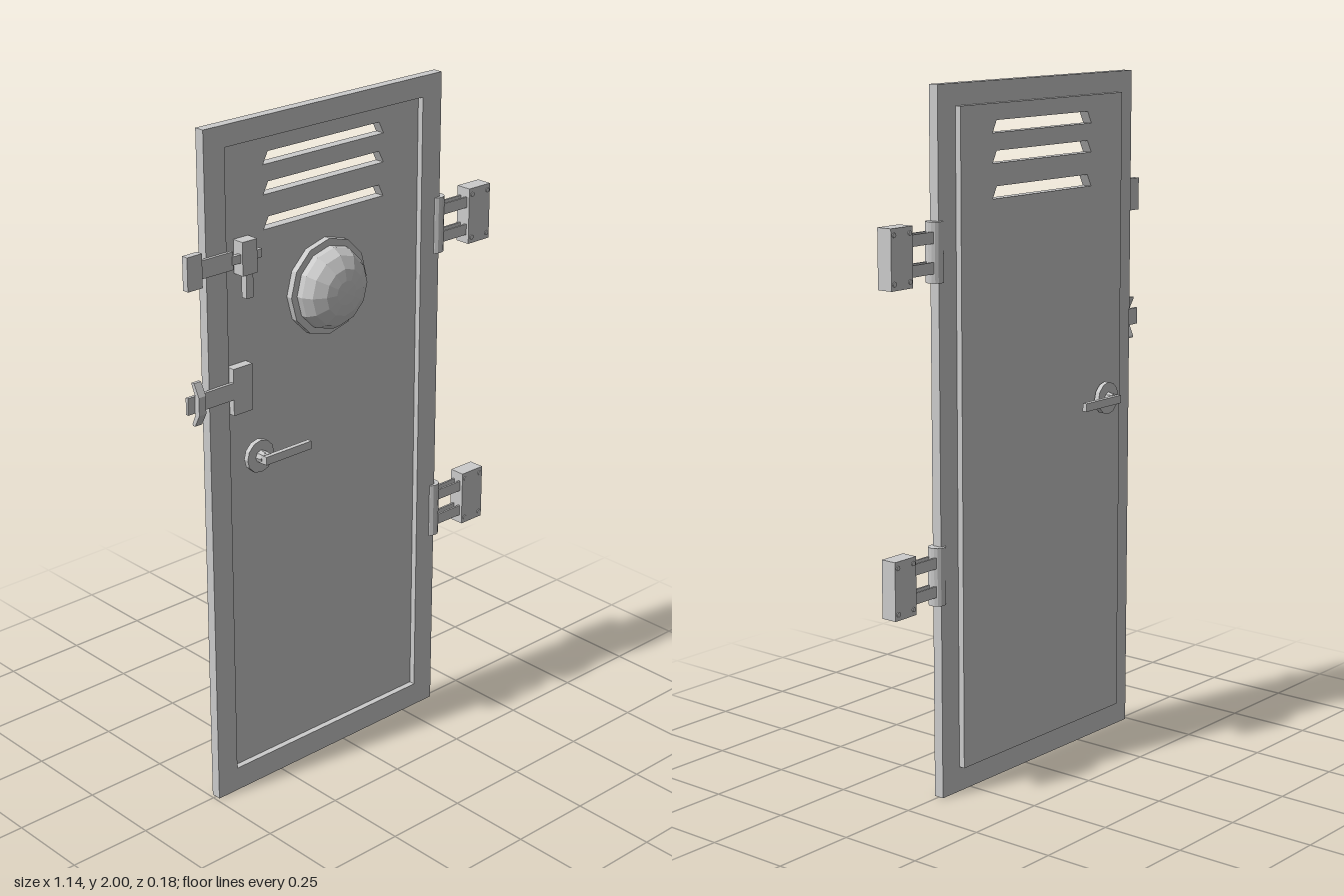
import * as THREE from 'three';

const material = new THREE.MeshStandardMaterial({ color: 0xcccccc, flatShading: true });

export function createModel() {
  const model = new THREE.Group();
  model.name = 'door';

  const add = (name, geometry, parent = model) => {
    const mesh = new THREE.Mesh(geometry, material);
    mesh.name = name;
    parent.add(mesh);
    return mesh;
  };
  // Box given by its limits on each axis
  const box = (name, x0, x1, y0, y1, z0, z1, parent) => {
    const mesh = add(name, new THREE.BoxGeometry(x1 - x0, y1 - y0, z1 - z0), parent);
    mesh.position.set((x0 + x1) / 2, (y0 + y1) / 2, (z0 + z1) / 2);
    return mesh;
  };
  // Cylinder along z
  const disc = (name, x, y, z0, z1, r0, r1, sides, parent) => {
    const geometry = new THREE.CylinderGeometry(r1, r0, z1 - z0, sides).rotateX(Math.PI / 2);
    const mesh = add(name, geometry, parent);
    mesh.position.set(x, y, (z0 + z1) / 2);
    return mesh;
  };
  const outline = (points) => points.map(([x, y]) => new THREE.Vector2(x, y));
  const rect = (x0, x1, y0, y1) => outline([[x0, y0], [x1, y0], [x1, y1], [x0, y1]]);
  const plate = (name, points, holes, z0, z1) => {
    const shape = new THREE.Shape(points);
    holes.forEach((h) => shape.holes.push(new THREE.Path(h)));
    const geometry = new THREE.ExtrudeGeometry(shape, { depth: z1 - z0, bevelEnabled: false });
    add(name, geometry.translate(0, 0, z0));
  };

  // Outer frame and inset panel with three vent slots
  plate('frame', rect(-0.49, 0.37, 0, 2), [rect(-0.42, 0.298, 0.073, 1.94)], -0.015, 0.015);
  const slots = [1.86, 1.777, 1.68].map((y) =>
    outline([[-0.275, y], [0.165, y], [0.148, y + 0.034], [-0.257, y + 0.034]]));
  plate('panel', rect(-0.42, 0.298, 0.073, 1.94), slots, -0.033, -0.003);

  // Domed porthole with its rim
  const lathe = (name, profile) => {
    const geometry = new THREE.LatheGeometry(outline(profile), 12).rotateX(Math.PI / 2);
    add(name, geometry).position.set(-0.055, 1.47, 0);
  };
  lathe('portholeRim', [[0.14, -0.004], [0.14, 0.016], [0.115, 0.016]]);
  lathe('portholeDome', [[0.12, 0.01], [0.118, 0.034], [0.102, 0.06], [0.068, 0.08], [0.035, 0.086], [0, 0.088]]);

  // Lever handles, mirrored about the middle of the panel
  const handleX = -0.333, handleY = 1.05;
  for (const side of [1, -1]) {
    const handle = new THREE.Group();
    handle.name = side > 0 ? 'frontHandle' : 'backHandle';
    handle.position.set(handleX, handleY, -0.009);
    if (side < 0) handle.rotation.x = Math.PI;
    model.add(handle);
    disc('rosette', 0, 0, 0.034, 0.049, 0.048, 0.048, 12, handle);
    disc('neck', 0, 0, 0.049, 0.066, 0.019, 0.015, 8, handle);
    box('spindle', -0.012, 0.014, -0.013, 0.013, 0, 0.074, handle);
    box('lever', -0.012, 0.153, -0.012, 0.012, 0.072, 0.086, handle);
  }

  // Two hinges: barrel, paired link bars and a mounting block
  for (const y of [1.554, 0.652]) {
    const hinge = new THREE.Group();
    hinge.name = 'hinge';
    hinge.position.set(0, y, 0);
    model.add(hinge);
    const barrel = add('hingeBarrel', new THREE.CylinderGeometry(0.025, 0.025, 0.166, 16), hinge);
    barrel.position.x = 0.37;
    box('hingeBlock', 0.483, 0.568, -0.083, 0.083, -0.024, 0.024, hinge);
    for (const dy of [-0.041, 0.041]) {
      for (const dz of [-0.012, 0.012]) {
        box('linkBar', 0.37, 0.49, dy - 0.016, dy + 0.016, dz - 0.003, dz + 0.003, hinge);
      }
    }
    for (const x of [0.495, 0.557]) {
      for (const dy of [-0.065, 0.065]) {
        disc('screw', x, dy, -0.027, 0.027, 0.007, 0.007, 8, hinge);
      }
    }
  }

  // Upper latch: keeper, bolt and turning grip
  box('boltKeeper', -0.565, -0.515, 1.583, 1.678, 0.01, 0.03);
  box('bolt', -0.52, -0.405, 1.605, 1.656, 0.015, 0.024);
  box('boltPin', -0.41, -0.307, 1.619, 1.643, 0.016, 0.027);
  box('boltGuide', -0.381, -0.33, 1.583, 1.678, -0.004, 0.034);
  box('boltGrip', -0.366, -0.342, 1.515, 1.59, 0.01, 0.03);

  // Lower latch: hasp plate, arm and an arched strap over the arm
  box('haspPlate', -0.412, -0.345, 1.188, 1.324, -0.004, 0.024);
  box('haspArm', -0.571, -0.41, 1.235, 1.284, 0.015, 0.024);
  const arch = new THREE.Shape(outline([
    [-0.062, 0.012], [-0.056, 0.012], [-0.03, 0.024], [0.03, 0.024], [0.056, 0.012], [0.062, 0.012],
    [0.062, 0.022], [0.026, 0.041], [-0.026, 0.041], [-0.062, 0.022],
  ]));
  const strap = new THREE.ExtrudeGeometry(arch, { depth: 0.024, bevelEnabled: false });
  // Cycle the axes so the profile lies in the y-z plane
  strap.applyMatrix4(new THREE.Matrix4().set(0, 0, 1, -0.547, 1, 0, 0, 1.258, 0, 1, 0, 0, 0, 0, 0, 1));
  add('haspStrap', strap);

  return model;
}
